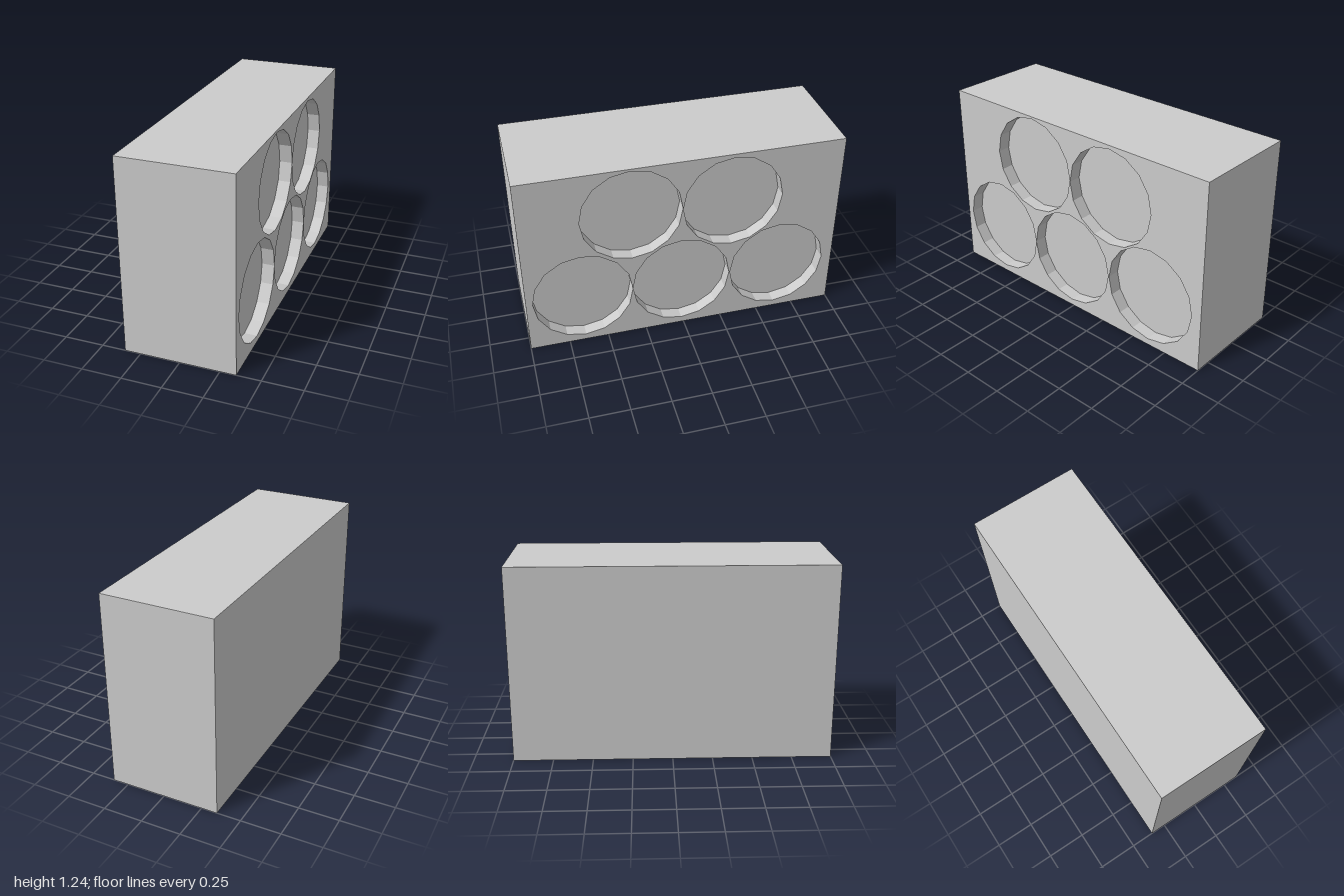
import * as THREE from 'three';
import { mergeGeometries } from 'three/addons/utils/BufferGeometryUtils.js';

const W = 0.7, H = 1.24, L = 2;            // block width (x), height (y), length (z)
const R = 0.314, DEPTH = 0.08, SIDES = 16; // round pockets
const POCKETS = [                          // pocket centres [z, y]
  [0.644, 0.355], [0.015, 0.355], [-0.62, 0.355],
  [0.324, 0.913], [-0.306, 0.903],
];

// Turns geometry drawn facing +z (drawn x = -z) towards the +x side
const toSide = (geometry) => geometry.rotateY(Math.PI / 2);

function faceted(parts) {
  const geometry = mergeGeometries(parts.map((p) => p.toNonIndexed()));
  geometry.computeVertexNormals();
  return geometry;
}

function blockGeometry() {
  // Box without its +x face, which is replaced by a pierced panel
  const box = new THREE.BoxGeometry(W, H, L).translate(0, H / 2, 0);
  box.setIndex(Array.from(box.index.array).slice(6));
  box.clearGroups();

  const panel = new THREE.Shape([
    new THREE.Vector2(-L / 2, 0), new THREE.Vector2(L / 2, 0),
    new THREE.Vector2(L / 2, H), new THREE.Vector2(-L / 2, H),
  ]);
  for (const [z, y] of POCKETS) {
    const points = [];
    for (let i = 0; i < SIDES; i++) {
      const a = -i / SIDES * Math.PI * 2;
      points.push(new THREE.Vector2(-z + R * Math.cos(a), y + R * Math.sin(a)));
    }
    panel.holes.push(new THREE.Path(points));
  }
  const face = toSide(new THREE.ShapeGeometry(panel).translate(0, 0, W / 2));
  return faceted([box, face]);
}

function pocketGeometry(z, y) {
  // Wall faces inward, floor faces out of the block
  const wall = new THREE.CylinderGeometry(R, R, DEPTH, SIDES, 1, true)
    .rotateX(Math.PI / 2).translate(-z, y, W / 2 - DEPTH / 2);
  wall.setIndex(Array.from(wall.index.array).reverse());
  wall.clearGroups();
  const floor = new THREE.CircleGeometry(R, SIDES).translate(-z, y, W / 2 - DEPTH);
  return faceted([toSide(wall), toSide(floor)]);
}

export function createModel() {
  const model = new THREE.Group();
  model.name = 'pocketedBlock';
  const material = new THREE.MeshStandardMaterial({ color: 0xcccccc, flatShading: true });

  const block = new THREE.Mesh(blockGeometry(), material);
  block.name = 'block';
  model.add(block);

  POCKETS.forEach(([z, y], i) => {
    const pocket = new THREE.Mesh(pocketGeometry(z, y), material);
    pocket.name = `roundPocket${i + 1}`;
    model.add(pocket);
  });
  return model;
}
